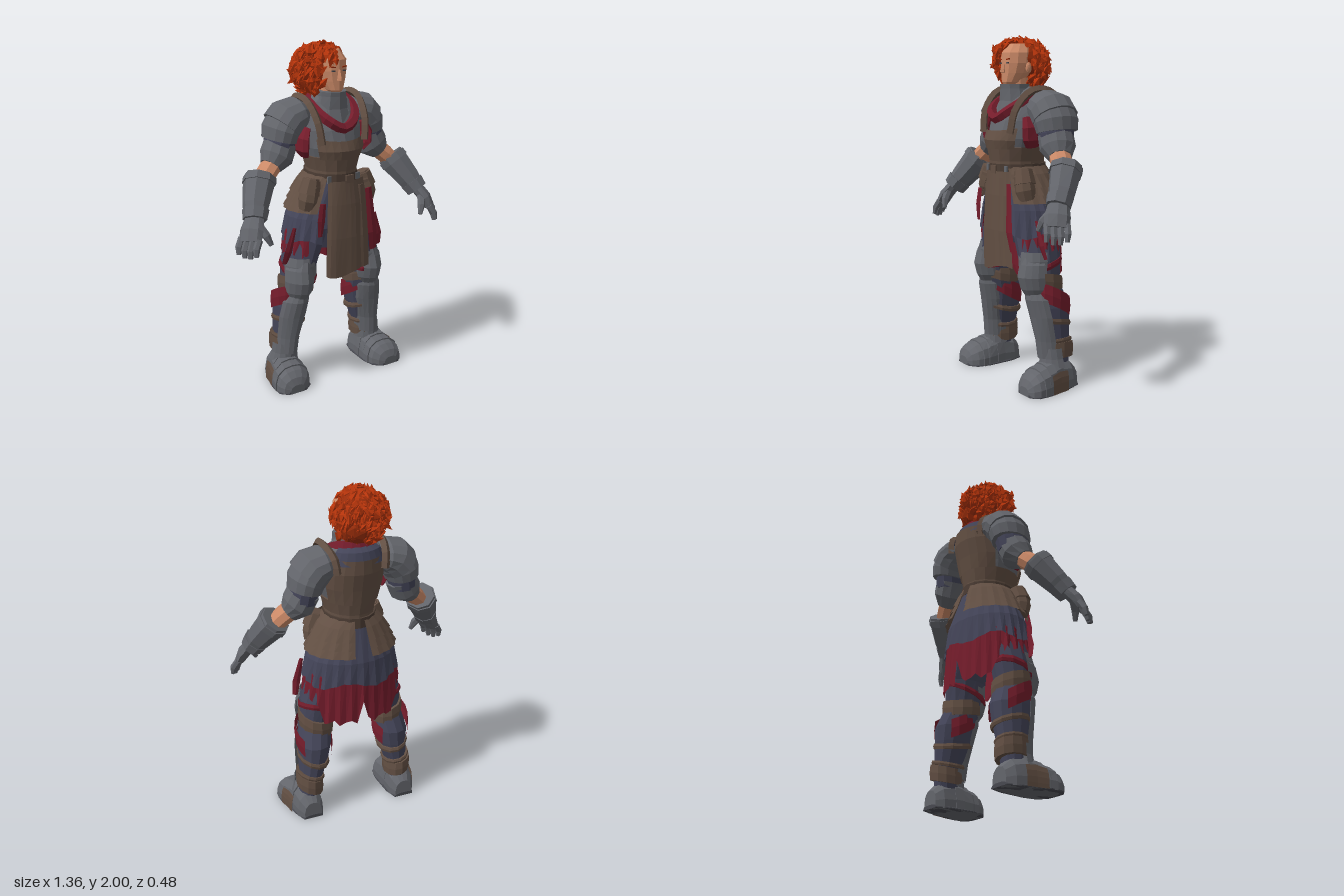
import * as THREE from 'three';
import { mergeGeometries } from 'three/addons/utils/BufferGeometryUtils.js';

const V = (x, y, z) => new THREE.Vector3(x, y, z);
const TAU = Math.PI * 2;

// Flat-shaded skin over rings [x, y, z, halfWidth, halfDepth]; depth runs along ref.
// arc leaves the section open, mod scales the radius, drop shifts y.
function loft(rings, { n = 10, ref = [0, 0, 1], up, arc, mod = () => 1, drop = () => 0 } = {}) {
  const c = rings.map(r => V(r[0], r[1], r[2])), last = rings.length - 1, [a0, a1] = arc || [0, TAU];
  const grid = rings.map((r, j) => {
    const t = up ? V(...up) : c[Math.min(j + 1, last)].clone().sub(c[Math.max(j - 1, 0)]).normalize();
    const A = V(...ref).addScaledVector(t, -V(...ref).dot(t)).normalize(), B = t.clone().cross(A);
    return Array.from({ length: n + 1 }, (_, i) => {
      const a = a0 + (a1 - a0) * i / n, v = j / last, m = mod(a, v, i);
      const p = c[j].clone().addScaledVector(A, r[4] * m * Math.cos(a)).addScaledVector(B, r[3] * m * Math.sin(a));
      p.y = Math.max(0, p.y + drop(a, v, i));
      return p;
    });
  });
  const pos = [], tri = (...ps) => ps.forEach(p => pos.push(p.x, p.y, p.z));
  for (let i = 0; i < n; i++) {
    for (let j = 0; j < last; j++) {
      const a = grid[j][i], b = grid[j][i + 1], d = grid[j + 1][i], e = grid[j + 1][i + 1];
      tri(a, b, e); tri(a, e, d);
    }
    if (!arc) { tri(c[0], grid[0][i + 1], grid[0][i]); tri(c[last], grid[last][i], grid[last][i + 1]); }
  }
  const g = new THREE.BufferGeometry();
  g.setAttribute('position', new THREE.Float32BufferAttribute(pos, 3));
  g.computeVertexNormals();
  return g;
}

function flat(g) {
  g = g.index ? g.toNonIndexed() : g;
  g.deleteAttribute('uv');
  g.computeVertexNormals();
  return g;
}

// Mirror across x and restore the corner order
function mirrored(g) {
  const m = g.clone(), p = m.attributes.position, q = g.attributes.position;
  for (let i = 0; i < p.count; i += 3)
    for (const [to, from] of [[0, 0], [1, 2], [2, 1]]) p.setXYZ(i + to, -q.getX(i + from), q.getY(i + from), q.getZ(i + from));
  m.computeVertexNormals();
  return m;
}

const tube = (pts, r, n, sides, closed = false) =>
  flat(new THREE.TubeGeometry(new THREE.CatmullRomCurve3(pts.map(p => V(...p)), closed), n, r, sides, closed));
const box = (w, h, d, x, y, z, rz = 0) => flat(new THREE.BoxGeometry(w, h, d).rotateZ(rz).translate(x, y, z));
const ball = (x, y, z, rx, ry, rz, d = 1) => flat(new THREE.IcosahedronGeometry(1, d).scale(rx, ry, rz).translate(x, y, z));

export function createModel() {
  const root = new THREE.Group();
  root.name = 'armouredSmith';
  const mat = (name, color) => Object.assign(new THREE.MeshStandardMaterial({ color, side: THREE.DoubleSide }), { name });
  const steel = mat('steel', 0x63656b), darkSteel = mat('darkSteel', 0x47484f), leather = mat('leather', 0x624f43),
    darkLeather = mat('darkLeather', 0x4b3c33), red = mat('redCloth', 0x761d2c), navy = mat('navyCloth', 0x444559),
    skin = mat('skin', 0xcc8a68), hair = mat('hair', 0xb5340b), darkHair = mat('darkHair', 0x962c0a);
  const add = (name, g, m) => {
    const mesh = new THREE.Mesh(g, m);
    mesh.name = name;
    root.add(mesh);
  };
  const pair = (name, g, m) => {
    add('left' + name, g, m);
    add('right' + name, mirrored(g), m);
  };
  const Y = [0, 1, 0], Z = [0, 0, 1];

  // Torso, bib and back plate
  add('breastplate', loft([[0, 1.22, .01, .135, .14], [0, 1.32, .01, .14, .15], [0, 1.42, .01, .17, .165], [0, 1.52, -.02, .19, .165],
    [0, 1.61, -.05, .19, .15], [0, 1.67, -.06, .15, .12], [0, 1.71, -.05, .08, .08]], { n: 16, up: Y }), steel);
  add('apronWaist', loft([[0, 1.22, .005, .145, .165], [0, 1.29, .005, .143, .165], [0, 1.37, .005, .165, .18]], { n: 16, up: Y }), leather);
  add('apronBib', loft([[0, 1.36, .005, .165, .182], [0, 1.41, .01, .185, .187], [0, 1.475, 0, .19, .176]],
    { n: 8, up: Y, arc: [-.95, .95], drop: (a, v) => v === 1 ? -.012 * Math.cos(a * 2) : 0 }), leather);
  add('backPlate', loft([[0, 1.36, 0, .165, .18], [0, 1.45, -.01, .185, .185], [0, 1.55, -.03, .187, .187], [0, 1.63, -.05, .165, .168]],
    { n: 8, up: Y, arc: [Math.PI - 1.15, Math.PI + 1.15] }), leather);
  add('backCloth', loft([[0, 1.6, -.055, .194, .158], [0, 1.67, -.065, .155, .128], [0, 1.71, -.05, .09, .09]],
    { n: 8, up: Y, arc: [Math.PI - 1, Math.PI + 1] }), navy);
  pair('ShoulderStrap', tube([[.14, 1.45, .145], [.155, 1.58, .12], [.168, 1.68, .03], [.168, 1.69, -.08], [.15, 1.64, -.17], [.14, 1.56, -.185]], .024, 14, 4), leather);
  pair('ArmpitCloth', loft([[.19, 1.38, .02, .02, .05], [.21, 1.42, .03, .03, .075], [.21, 1.48, .03, .03, .08], [.185, 1.54, .03, .02, .06]], { n: 8 }), red);
  add('gorget', loft([[0, 1.55, .02, .12, .11], [0, 1.63, .01, .1, .095], [0, 1.7, .015, .085, .088], [0, 1.725, .015, .085, .09]], { n: 10, up: Y }), steel);
  add('scarf', tube([[0, 1.53, .145], [.08, 1.57, .125], [.125, 1.64, .02], [.09, 1.69, -.1], [0, 1.69, -.14],
    [-.09, 1.69, -.1], [-.125, 1.64, .02], [-.08, 1.57, .125]], .03, 24, 5, true), red);

  // Head and face
  add('neck', loft([[0, 1.6, -.02, .06, .06], [0, 1.76, 0, .055, .06]], { up: Y }), skin);
  add('head', loft([[0, 1.715, .055, .025, .035], [0, 1.735, .04, .048, .06], [0, 1.785, .012, .074, .088], [0, 1.84, 0, .088, .1],
    [0, 1.9, -.005, .088, .1], [0, 1.95, -.02, .06, .075]], { n: 12, up: Y }), skin);
  add('nose', loft([[0, 1.79, .098, .018, .022], [0, 1.805, .098, .015, .02], [0, 1.85, .094, .007, .01]], { n: 5, up: Y }), skin);
  pair('Ear', ball(.09, 1.815, -.015, .012, .032, .02), skin);
  pair('Eye', box(.02, .007, .008, .034, 1.842, .091), darkSteel);
  pair('Brow', box(.03, .006, .009, .036, 1.863, .09, .12), darkHair);

  // Curly hair swept to one side, with the other temple shaved
  let seed = 7;
  const rnd = () => (seed = (seed * 16807) % 2147483647) / 2147483647;
  const curls = [], jitter = () => (rnd() - .5) * 1.4;
  while (curls.length < 560) {
    const h = rnd() * 2 - 1, a = rnd() * TAU, s = Math.sqrt(1 - h * h), k = .8 + .2 * rnd(), size = .75 + .5 * rnd();
    const x = -.036 + .163 * k * s * Math.sin(a), y0 = 1.838 + .143 * k * h, z0 = -.05 + .163 * k * s * Math.cos(a);
    const y = y0 - (z0 < -.05 ? .03 * Math.max(0, -h) : 0), z = z0 + (z0 > 0 && y0 > 1.88 && x < .03 ? .025 : 0);
    const along = V(Math.sin(a) * h + jitter(), -s + jitter(), Math.cos(a) * h + jitter()).normalize();
    const hairline = x < -.01 ? 1.885 : 1.94;
    const face = (z > -.04 && x > -.09 && y < hairline) || (z > .085 && y < 1.9) || (z > .02 && y < 1.75);
    if (face) continue;
    curls.push(flat(new THREE.OctahedronGeometry(1).scale(.02 * size, .038 * size, .016 * size)
      .applyQuaternion(new THREE.Quaternion().setFromUnitVectors(V(0, 1, 0), along)).translate(x, y, z)));
  }
  add('hairCurls', mergeGeometries(curls), hair);
  add('hairCap', ball(-.015, 1.868, -.07, .118, .11, .12, 2), darkHair);
  add('hairNape', ball(-.015, 1.78, -.12, .115, .085, .075), darkHair);

  // Pauldrons, cloth sleeves and elbow guards
  pair('ShoulderGuard', loft([[.13, 1.6, -.07, .06, .09], [.18, 1.6, -.07, .095, .13], [.235, 1.58, -.07, .112, .14], [.275, 1.535, -.07, .11, .142]], { n: 14 }), steel);
  pair('UpperLame', loft([[.255, 1.56, -.07, .1, .132], [.28, 1.515, -.07, .103, .137], [.292, 1.46, -.07, .094, .125]], { n: 14 }), steel);
  pair('Sleeve', loft([[.285, 1.5, -.065, .084, .11], [.295, 1.45, -.06, .084, .108], [.305, 1.39, -.06, .08, .1]], { n: 12 }), navy);
  pair('ElbowGuard', loft([[.289, 1.445, -.06, .09, .104], [.325, 1.37, -.05, .094, .104], [.37, 1.325, -.035, .06, .07]], { n: 12 }), steel);
  pair('Forearm', loft([[.32, 1.37, -.05, .055, .065], [.4, 1.3, -.02, .055, .065], [.47, 1.23, .005, .05, .06]], { n: 8 }), skin);

  // Gauntlets
  pair('GauntletCuff', loft([[.443, 1.285, -.022, .085, .085], [.46, 1.255, -.004, .09, .09], [.52, 1.15, .066, .074, .075],
    [.545, 1.1, .102, .058, .063]], { n: 8 }), steel);
  pair('GauntletRim', loft([[.449, 1.275, -.016, .093, .095], [.464, 1.247, .003, .095, .096]], { n: 8 }), steel);
  pair('WristBand', loft([[.53, 1.13, .084, .073, .078], [.552, 1.085, .112, .065, .072]], { n: 8 }), steel);
  const wide = [-.55, 0, .83];
  pair('Hand', loft([[.55, 1.1, .108, .037, .056], [.588, 1.04, .144, .038, .07], [.61, .985, .165, .029, .068]], { n: 8, ref: wide }), steel);
  for (let i = 0; i < 4; i++) {
    const o = (i - 1.5) * .036, p = (x, y, z, r) => [x - .55 * o, y, z + .83 * o, r, r], low = i % 3 ? .015 : 0;
    pair('Finger' + (i + 1), loft([p(.605, 1, .16, .02), p(.632, .955 - low, .175, .02), p(.636, .915 - low, .182, .013)], { n: 6 }), steel);
  }
  pair('Thumb', loft([[.555, 1.07, .15, .026, .026], [.525, 1.01, .195, .023, .023], [.505, .96, .21, .013, .013]], { n: 6 }), steel);

  // Belt, pouches and layered leather flaps
  add('belt', loft([[0, 1.215, 0, .152, .173], [0, 1.275, 0, .15, .171]], { n: 16, up: Y }), darkLeather);
  add('buckle', box(.05, .045, .012, .02, 1.245, .176), leather);
  pair('BeltStud', box(.025, .04, .012, .095, 1.245, .142), steel);
  const pleat = s => (a, v, i) => 1 + (i % 2 ? s : -s) * (1 - v);
  for (let i = 0; i < 3; i++) {
    const y = 1.15 - i * .045, w = .235 + i * .02;
    pair('HipFlap' + (i + 1), loft([[0, y, -.02, w, .195 + i * .012], [0, y + .07, -.01, w - .045, .178 + i * .01], [0, 1.265, 0, .145, .165]],
      { n: 14, up: Y, arc: [.7, 2.95], mod: pleat(.015) }), leather);
  }
  pair('Pouch', loft([[.2, 1.08, .07, .05, .05], [.195, 1.13, .08, .06, .06], [.175, 1.21, .08, .055, .055], [.165, 1.25, .075, .04, .04]], { n: 8 }), leather);
  pair('PouchLid', loft([[.192, 1.165, .08, .064, .064], [.168, 1.245, .075, .052, .052]], { n: 8 }), leather);

  // Cloth skirts, ragged at the hem
  add('pelvis', loft([[0, .82, -.02, .14, .12], [0, .95, -.02, .22, .15], [0, 1.22, 0, .14, .15]], { n: 14, up: Y }), navy);
  add('navySkirt', loft([[0, .88, -.02, .292, .208], [0, 1.02, -.02, .265, .2], [0, 1.23, 0, .16, .165]],
    { n: 38, up: Y, arc: [.55, TAU - .55], mod: pleat(.025), drop: (a, v) => v ? 0 : .02 * Math.sin(a * 5) }), navy);
  const hem = a => {
    const b = Math.abs(a - Math.PI);
    return b < .12 ? -.02 : b < .95 ? -.15 : b < 1.15 ? -.05 : 0;
  };
  add('redSkirt', loft([[0, .78, -.02, .294, .206], [0, .93, -.02, .278, .198], [0, 1.1, -.01, .2, .165]],
    { n: 38, up: Y, arc: [.85, TAU - .85], mod: pleat(.025), drop: (a, v, i) => v ? 0 : hem(a) + .014 * (i % 3) }), red);
  add('leftFrontPanel', loft([[.195, .79, .165, .024, .005], [.18, .9, .178, .03, .006], [.155, 1.17, .165, .022, .006]], { n: 4 }), red);
  add('rightFrontPanel', loft([[-.17, .93, .165, .014, .005], [-.165, 1.02, .17, .024, .006], [-.15, 1.12, .165, .02, .006]], { n: 4 }), red);
  pair('SideTail', loft([[.328, .755, .03, .016, .005], [.312, .83, .05, .024, .006], [.275, .97, .06, .012, .006]], { n: 4 }), red);
  add('underTail', loft([[.06, .61, .03, .015, .005], [.04, .68, .04, .05, .006], [.02, .9, .06, .06, .006]], { n: 4 }), red);

  // Apron
  add('apronSkirt', loft([[.027, .68, .09, .19, .1], [.022, .9, .095, .18, .1], [.022, 1.1, .09, .17, .1], [.014, 1.235, .08, .15, .1]],
    { n: 10, up: Y, arc: [-.9, .9], mod: (a, v) => 1 + .04 * (1 - v) * Math.sin(a * 7), drop: (a, v) => v ? 0 : .02 * Math.sin(a * 3) }), leather);
  add('apronFold', loft([[.12, .7, .18, .035, .006], [.105, .9, .187, .03, .006], [.09, 1.2, .172, .025, .006]], { n: 4 }), leather);

  // Legs with cloth wraps
  pair('Leg', loft([[.295, .12, -.07, .062, .075], [.278, .25, -.07, .07, .088], [.257, .38, -.06, .09, .11], [.248, .47, -.055, .1, .118],
    [.225, .6, -.015, .095, .105], [.21, .74, -.01, .1, .13], [.14, .95, -.02, .12, .14]], { n: 12, up: Y }), navy);
  const wrap = (name, y, x, z, w, d, h, m, tilt = .18, arc = undefined) =>
    pair(name, loft([[x, y - h, z, w, d], [x, y, z, w * 1.04, d * 1.04], [x, y + h, z, w, d]],
      { n: 12, up: Y, arc, drop: a => tilt * d * Math.cos(a) + .02 * Math.sin(a) }), m);
  wrap('ThighWrap', .69, .217, -.01, .102, .128, .018, red, -.3);
  wrap('KneeWrap', .6, .225, -.025, .1, .113, .045, leather, .2);
  wrap('CalfCloth', .5, .25, -.055, .108, .122, .055, red, .55, [-2.3, 2.3]);
  wrap('CalfStrap', .37, .258, -.062, .093, .112, .016, leather);
  wrap('AnkleLeather', .205, .288, -.075, .077, .102, .045, leather, 0);
  wrap('AnkleStrap', .262, .28, -.07, .081, .1, .012, leather, 0);

  // Knee guards and greaves with a central ridge
  const ridge = a => 1 + .13 * Math.max(0, 1 - Math.abs(a) / .7);
  pair('Cuisse', loft([[.22, .67, .01, .1, .11], [.217, .74, 0, .1, .125], [.21, .79, -.005, .095, .12]], { n: 8, up: Y, arc: [-1.5, 1.5] }), steel);
  pair('KneeGuard', loft([[.243, .53, .015, .06, .075], [.239, .58, .02, .085, .1], [.237, .65, .028, .093, .11], [.234, .72, .022, .088, .1],
    [.225, .77, .01, .06, .1]], { n: 8, up: Y, arc: [-1.5, 1.5], mod: ridge }), steel);
  pair('Greave', loft([[.29, .18, -.045, .07, .085], [.283, .28, -.035, .072, .085], [.265, .42, -.01, .088, .085], [.252, .52, .008, .085, .09],
    [.245, .56, .01, .07, .085]], { n: 8, up: Y, arc: [-1.45, 1.45], mod: ridge }), steel);

  // Broad flat-soled boots with overlapping plates
  const boxy = { ref: Y, up: Z, n: 14, mod: a => (Math.abs(Math.sin(a)) ** 2.6 + Math.abs(Math.cos(a)) ** 2.6) ** (-1 / 2.6) };
  pair('Sole', loft([[.302, 0, -.18, .06, .022], [.305, 0, -.1, .088, .025], [.322, 0, .06, .113, .025], [.33, 0, .14, .105, .025], [.335, 0, .18, .06, .022]], boxy), darkSteel);
  pair('Boot', loft([[.302, .02, -.176, .055, .085], [.305, .02, -.13, .08, .13], [.31, .02, -.03, .09, .16], [.322, .02, .06, .11, .125],
    [.33, .02, .13, .104, .1], [.335, .02, .165, .08, .07], [.335, .02, .182, .045, .03]], boxy), steel);
  for (let i = 0; i < 3; i++) {
    const z = -.025 + i * .05;
    pair('FootPlate' + (i + 1), loft([[.31 + i * .006, .02, z - .03, .09 + i * .008, .165 - i * .018], [.314 + i * .006, .02, z + .025, .1 + i * .007, .155 - i * .018]], boxy), steel);
  }
  pair('BootPatch', loft([[.308, .02, -.08, .1, .15], [.312, .02, -.02, .106, .16], [.32, .02, .045, .114, .14]], { ...boxy, n: 4, arc: [-1.75, -.95] }), leather);
  pair('AnkleGuard', loft([[.303, .13, -.06, .09, .1], [.298, .18, -.055, .08, .09], [.291, .24, -.05, .08, .085]], { n: 8, up: Y, arc: [-1.6, 1.6] }), steel);
  return root;
}
